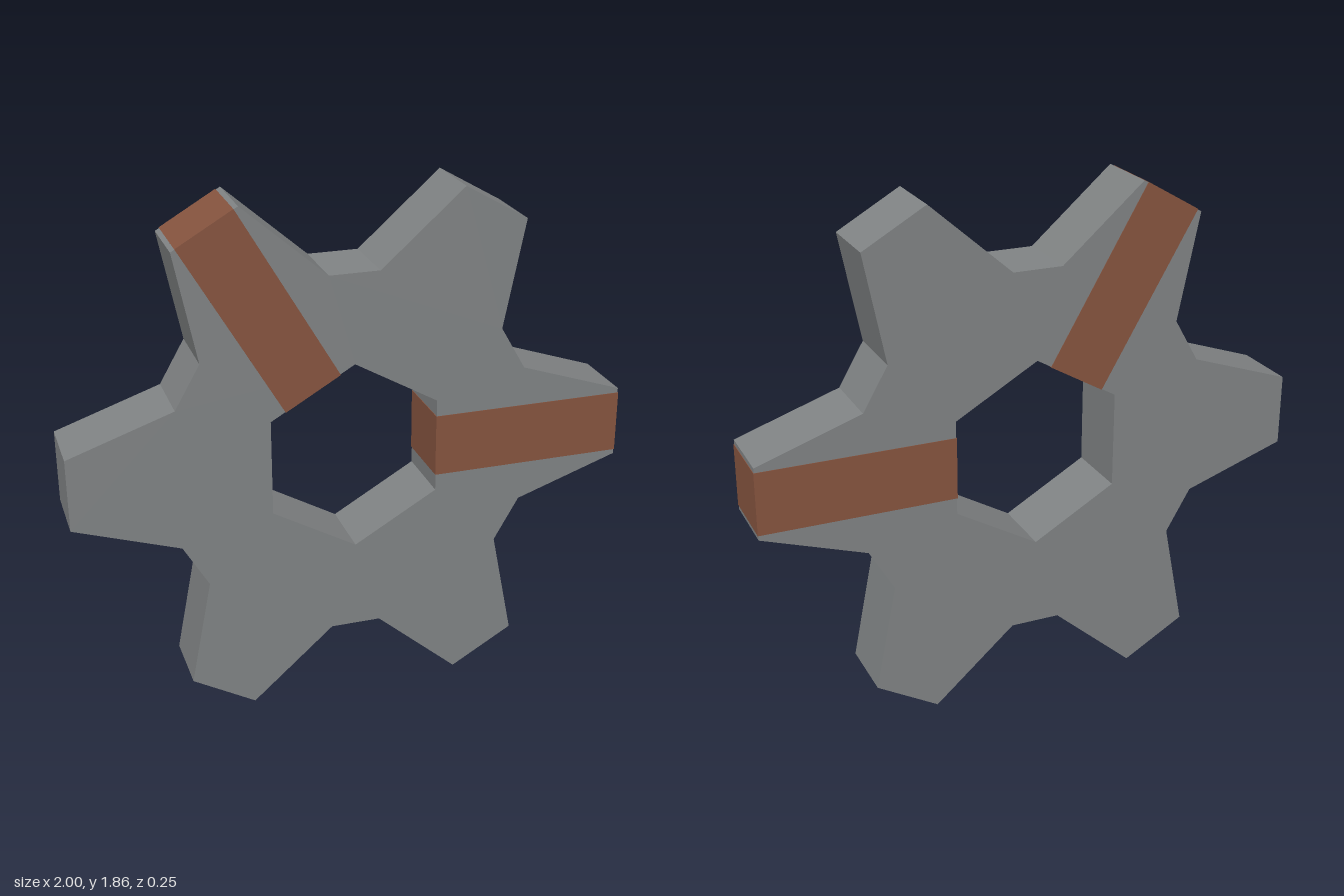
import * as THREE from 'three';

const DEPTH = 0.25;
const CENTRE_Y = 0.936;
const HOLE_APOTHEM = 0.3;

export function createModel() {
  const steel = new THREE.MeshStandardMaterial({ name: 'steelGrey', color: 0x808384 });
  const rust = new THREE.MeshStandardMaterial({ name: 'rustBrown', color: 0x86543f });

  const model = new THREE.Group();
  model.name = 'gear';
  const wheel = new THREE.Group();
  wheel.name = 'wheel';
  wheel.position.y = CENTRE_Y;
  wheel.rotation.z = 0.005;
  model.add(wheel);

  // Six-toothed outline: a flat tip, then a short valley edge, repeated
  const outline = [];
  const tip = [[0.999, -0.13], [0.999, 0.13], [0.625, 0.257], [0.535, 0.413]];
  for (let i = 0; i < 6; i++) {
    for (const [x, y] of tip) {
      outline.push(new THREE.Vector2(x, y).rotateAround(new THREE.Vector2(), i * Math.PI / 3));
    }
  }
  const shape = new THREE.Shape(outline);

  // Hexagonal bore with corners at top and bottom
  const bore = [];
  const r = HOLE_APOTHEM / Math.cos(Math.PI / 6);
  for (let i = 0; i < 6; i++) {
    const a = Math.PI / 6 - i * Math.PI / 3;
    bore.push(new THREE.Vector2(r * Math.cos(a), r * Math.sin(a)));
  }
  shape.holes.push(new THREE.Path(bore));

  const bodyGeometry = new THREE.ExtrudeGeometry(shape, { depth: DEPTH, bevelEnabled: false });
  bodyGeometry.translate(0, 0, -DEPTH / 2);
  const body = new THREE.Mesh(bodyGeometry, steel);
  body.name = 'gearBody';
  wheel.add(body);

  // Painted bands wrap a tooth from the bore to its tip, barely proud of the body
  const inner = HOLE_APOTHEM - 0.002, outer = 1.001;
  const bandGeometry = new THREE.BoxGeometry(outer - inner, 0.226, DEPTH + 0.004);
  bandGeometry.translate((inner + outer) / 2, 0, 0);
  for (const [name, angle] of [['leftBand', 0], ['upperBand', 2 * Math.PI / 3]]) {
    const band = new THREE.Mesh(bandGeometry, rust);
    band.name = name;
    band.rotation.z = angle;
    wheel.add(band);
  }

  return model;
}
